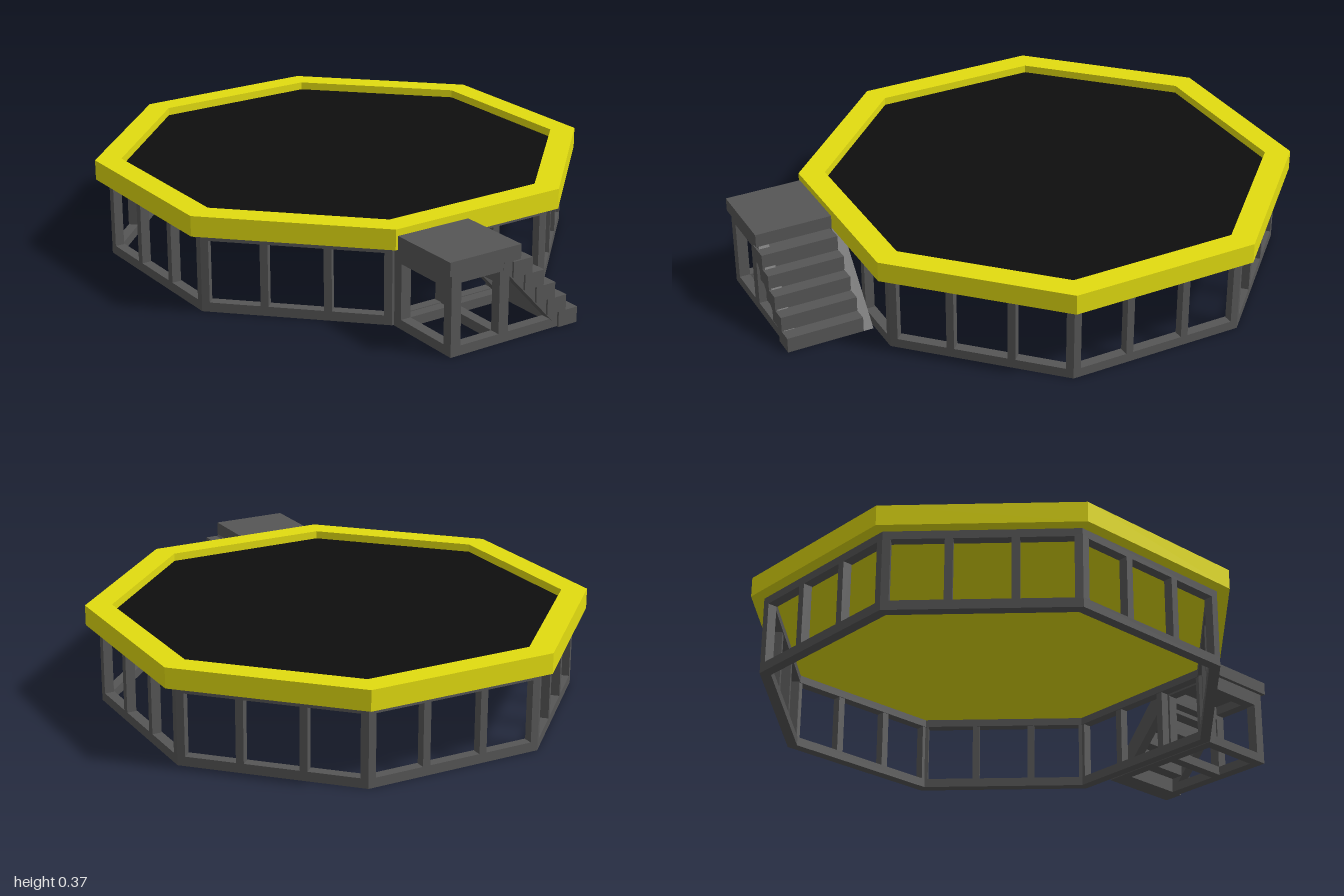
import * as THREE from 'three';

const yellow = new THREE.MeshStandardMaterial({ color: 0xe2dc10 });
const black = new THREE.MeshStandardMaterial({ color: 0x0e0e0e });
const steel = new THREE.MeshStandardMaterial({ color: 0x565656 });

// Corners of an octagon with flat sides facing the axes, from centre to side
function octagon(apothem) {
  const r = apothem / Math.cos(Math.PI / 8);
  return Array.from({ length: 8 }, (_, i) => {
    const a = Math.PI / 8 + i * Math.PI / 4;
    return new THREE.Vector2(r * Math.cos(a), r * Math.sin(a));
  });
}

// Flat octagonal plate or, with an inner size, a ring
function octagonSlab(name, outer, inner, y0, y1, material) {
  const shape = new THREE.Shape(octagon(outer));
  if (inner) shape.holes.push(new THREE.Path(octagon(inner)));
  const geo = new THREE.ExtrudeGeometry(shape, { depth: y1 - y0, bevelEnabled: false });
  geo.rotateX(-Math.PI / 2);
  const mesh = new THREE.Mesh(geo, material);
  mesh.position.y = y0;
  mesh.name = name;
  return mesh;
}

// Box given by its limits
function box(name, x0, x1, y0, y1, z0, z1, material = steel) {
  const mesh = new THREE.Mesh(new THREE.BoxGeometry(x1 - x0, y1 - y0, z1 - z0), material);
  mesh.position.set((x0 + x1) / 2, (y0 + y1) / 2, (z0 + z1) / 2);
  mesh.name = name;
  return mesh;
}

function createPlatform() {
  const group = new THREE.Group();
  group.name = 'octagonPlatform';
  group.add(
    octagonSlab('paddedRim', 0.855, 0.765, 0.295, 0.37, yellow),
    octagonSlab('floorBase', 0.77, 0, 0.295, 0.325, yellow),
    octagonSlab('floorMat', 0.766, 0, 0.325, 0.34, black),
    octagonSlab('bottomRail', 0.81, 0.772, 0, 0.035, steel),
    octagonSlab('topRail', 0.81, 0.772, 0.265, 0.295, steel)
  );
  // Corner posts and two posts between them on every side
  const half = 0.81 * Math.tan(Math.PI / 8);
  for (let i = 0; i < 8; i++) {
    const side = new THREE.Group();
    side.name = 'sidePosts';
    side.rotation.y = i * Math.PI / 4;
    for (const x of [-half + 0.014, -half / 3, half / 3, half - 0.014]) {
      side.add(box('post', x - 0.014, x + 0.014, 0.03, 0.27, 0.775, 0.81));
    }
    group.add(side);
  }
  group.position.z = -0.145;
  return group;
}

function createStairs() {
  const group = new THREE.Group();
  group.name = 'stairs';
  group.add(box('landing', -0.345, -0.05, 0.295, 0.345, 0.71, 1));

  // Descending treads
  const rise = 0.0575, run = 0.051;
  for (let i = 0; i < 5; i++) {
    const x = -0.05 + i * run, top = 0.2875 - i * rise;
    group.add(box('tread', x - 0.03, x + run, top - rise, top, 0.71, 1));
  }

  // Sloping stringer outline
  const stringer = new THREE.Shape([
    [-0.115, 0.295], [-0.05, 0.295], [0.205, 0], [0.125, 0], [-0.115, 0.262]
  ].map(p => new THREE.Vector2(...p)).reverse());

  // Front and rear frames
  for (const z of [0.67, 0.95]) {
    const z1 = z + 0.04;
    for (const x of [-0.33, -0.13]) group.add(box('stairPost', x, x + 0.04, 0, 0.295, z, z1));
    group.add(box('stairBottomRail', -0.33, 0.13, 0, 0.035, z, z1));
    group.add(box('stairTopRail', -0.33, -0.09, 0.26, 0.295, z, z1));
    const geo = new THREE.ExtrudeGeometry(stringer, { depth: 0.04, bevelEnabled: false });
    const mesh = new THREE.Mesh(geo, steel);
    mesh.position.z = z + 0.002;
    mesh.name = 'stringer';
    group.add(mesh);
  }

  // Cross rails joining the frames
  for (const x of [-0.33, -0.13]) {
    group.add(box('lowerCrossRail', x, x + 0.04, 0, 0.035, 0.7, 0.96));
    group.add(box('upperCrossRail', x, x + 0.04, 0.24, 0.295, 0.7, 0.96));
  }
  return group;
}

export function createModel() {
  const model = new THREE.Group();
  model.name = 'octagonalStage';
  model.add(createPlatform(), createStairs());
  return model;
}
